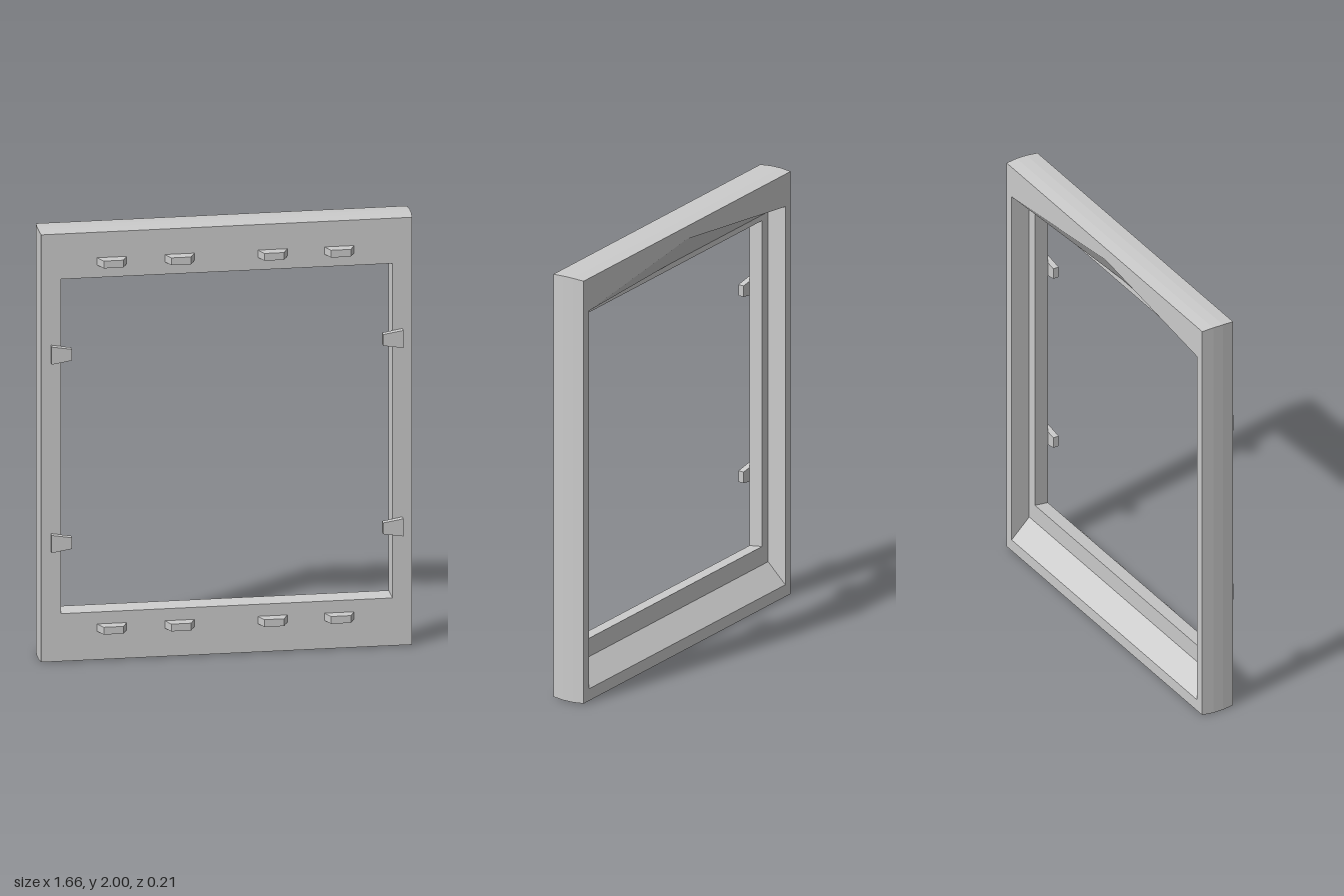
import * as THREE from 'three';

const material = new THREE.MeshStandardMaterial({ color: 0xcccccc, flatShading: true });

// Five-point ring: straight sides, flat bottom, top with a middle point
function ring(x, bottom, top, peak, z) {
  return [[x, bottom, z], [x, top, z], [0, peak, z], [-x, top, z], [-x, bottom, z]];
}

// Joins successive rings with quads and closes back onto the first ring
function loft(rings) {
  const pos = [];
  rings.forEach((r, j) => {
    const next = rings[(j + 1) % rings.length];
    r.forEach((a, i) => {
      const k = (i + 1) % r.length;
      const b = r[k], c = next[k], d = next[i];
      pos.push(...a, ...d, ...c, ...a, ...c, ...b);
    });
  });
  const g = new THREE.BufferGeometry();
  g.setAttribute('position', new THREE.Float32BufferAttribute(pos, 3));
  g.computeVertexNormals();
  return g;
}

function prism(points, depth) {
  const shape = new THREE.Shape(points.map(([x, y]) => new THREE.Vector2(x, y)));
  return new THREE.ExtrudeGeometry(shape, { depth, bevelEnabled: false });
}

export function createModel() {
  const model = new THREE.Group();
  const add = (name, geometry, x, y, z) => {
    const mesh = new THREE.Mesh(geometry, material);
    mesh.name = name;
    mesh.position.set(x, y, z);
    model.add(mesh);
  };

  // Frame: slightly bowed outside, recessed back with sloped sill and peaked top
  add('frame', loft([
    ring(0.828, 0.004, 1.996, 1.996, 0.055),
    ring(0.832, 0, 2, 2, 0),
    ring(0.832, 0, 2, 2, -0.05),
    ring(0.828, 0.004, 1.996, 1.996, -0.105),
    ring(0.785, 0.06, 1.843, 1.936, -0.105),
    ring(0.785, 0.15, 1.8, 1.8, -0.014),
    ring(0.734, 0.238, 1.775, 1.775, -0.016),
    ring(0.74, 0.226, 1.785, 1.785, 0.055),
  ]), 0, 0, 0);

  // Wedge tabs along the top and bottom rails, tapering toward the front
  const railTab = prism([[-0.066, 0], [0.066, 0], [0.044, 0.05], [-0.044, 0.05]], 0.034);
  railTab.rotateX(Math.PI / 2);
  for (const y of [0.17, 1.877]) {
    for (const x of [-0.512, -0.21, 0.205, 0.503]) add('railTab', railTab, x, y, 0.055);
  }

  // Side clips, tapering inward over the opening
  for (const side of [-1, 1]) {
    const pts = [[0.785, -0.041], [0.785, 0.041], [0.694, 0.026], [0.694, -0.026]];
    const clip = prism(pts.map(([x, y]) => [x * side, y]), 0.028);
    for (const y of [0.561, 1.439]) add('sideClip', clip, 0, y, 0.055);
  }
  return model;
}
